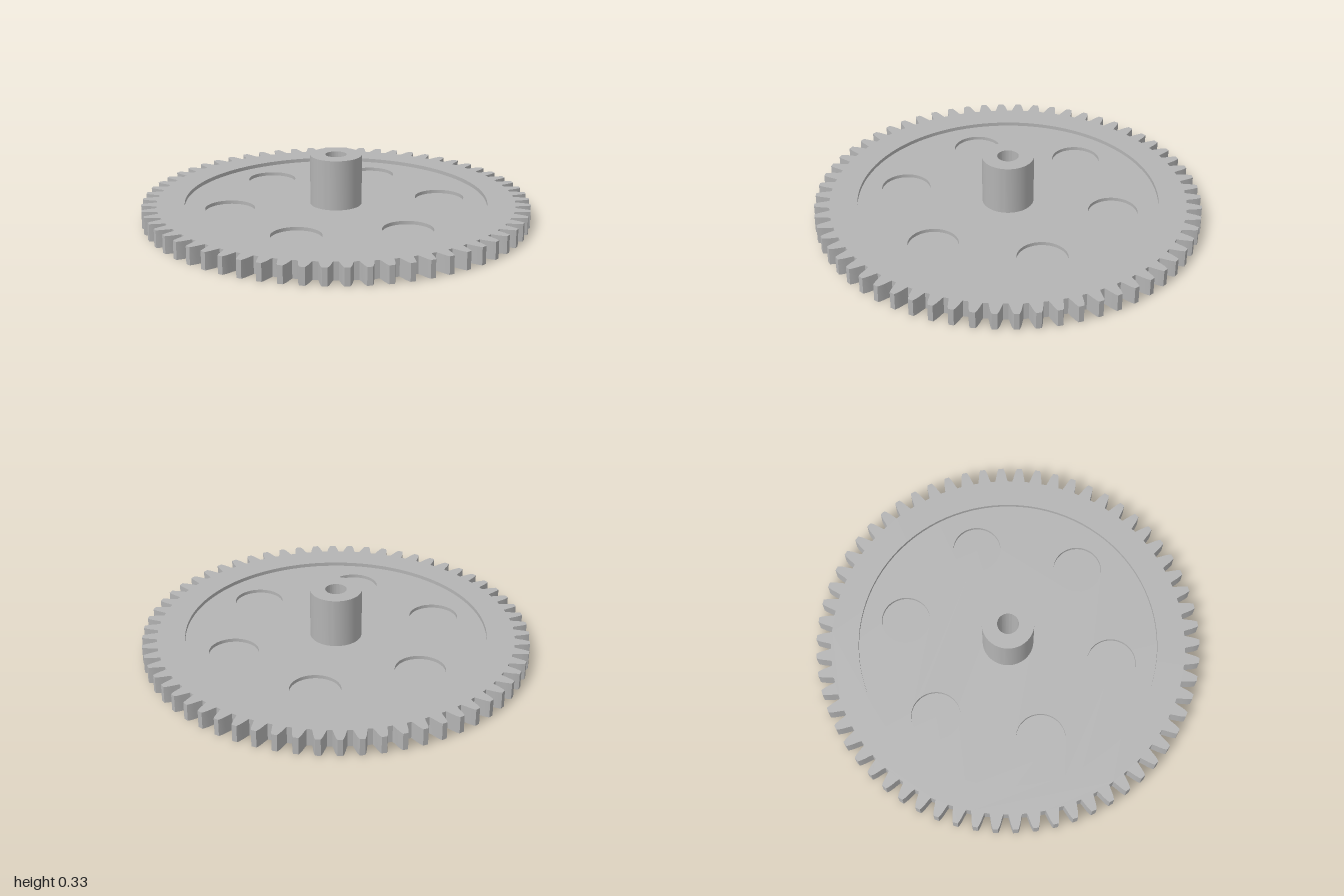
import * as THREE from 'three';
import { toCreasedNormals } from 'three/addons/utils/BufferGeometryUtils.js';

const TEETH = 62;
const THICK = 0.09;      // rim thickness
const RIM_INNER = 0.78;
const WEB_LOW = 0.02, WEB_HIGH = 0.07;
const HUB_R = 0.133, BORE_R = 0.055, HUB_TOP = 0.33;
const POCKET_R = 0.127, POCKET_ORBIT = 0.55;

const circle = (Type, x, y, r) => new Type().absarc(x, y, r, 0, Math.PI * 2, false);

// Extrudes a plan shape upward from y0 to y1
function slab(shape, y0, y1) {
  const geo = new THREE.ExtrudeGeometry(shape, { depth: y1 - y0, bevelEnabled: false, curveSegments: 48 });
  geo.rotateX(-Math.PI / 2).translate(0, y0, 0);
  return toCreasedNormals(geo, 0.3);
}

// Toothed outline: each tooth is a mirrored flank of [radius, half angle]
function gearShape() {
  const flank = [[0.923, 0.037], [0.94, 0.0315], [0.965, 0.0255], [0.985, 0.0195], [1, 0.013]];
  const profile = [
    ...flank.map(([r, a]) => [r, -a]),
    ...flank.slice().reverse(),
  ];
  const points = [];
  for (let i = 0; i < TEETH; i++) {
    const mid = Math.PI / 2 + (i / TEETH) * Math.PI * 2;
    for (const [r, a] of profile) {
      points.push(new THREE.Vector2(r * Math.cos(mid + a), r * Math.sin(mid + a)));
    }
  }
  return new THREE.Shape(points);
}

export function createModel() {
  const group = new THREE.Group();
  const metal = new THREE.MeshStandardMaterial({ color: 0xb4b4b4 });
  metal.name = 'grey';

  const add = (name, geo) => {
    const mesh = new THREE.Mesh(geo, metal);
    mesh.name = name;
    group.add(mesh);
    return mesh;
  };

  // Toothed rim
  const rim = gearShape();
  rim.holes.push(circle(THREE.Path, 0, 0, RIM_INNER));
  add('toothedRim', slab(rim, 0, THICK));

  // Recessed web with six round pockets, each closed by a thin floor
  const web = circle(THREE.Shape, 0, 0, RIM_INNER);
  web.holes.push(circle(THREE.Path, 0, 0, HUB_R - 0.005));
  for (let i = 0; i < 6; i++) {
    const a = Math.PI / 2 + (i * Math.PI) / 3;
    const x = POCKET_ORBIT * Math.cos(a), y = POCKET_ORBIT * Math.sin(a);
    web.holes.push(circle(THREE.Path, x, y, POCKET_R));
    const floor = add('pocketFloor', new THREE.CylinderGeometry(POCKET_R, POCKET_R, 0.014, 96));
    floor.position.set(x, (WEB_LOW + WEB_HIGH) / 2, -y);
  }
  add('web', slab(web, WEB_LOW, WEB_HIGH));

  // Hub with a through bore
  const hub = circle(THREE.Shape, 0, 0, HUB_R);
  hub.holes.push(circle(THREE.Path, 0, 0, BORE_R));
  add('hub', slab(hub, 0, HUB_TOP));

  return group;
}
